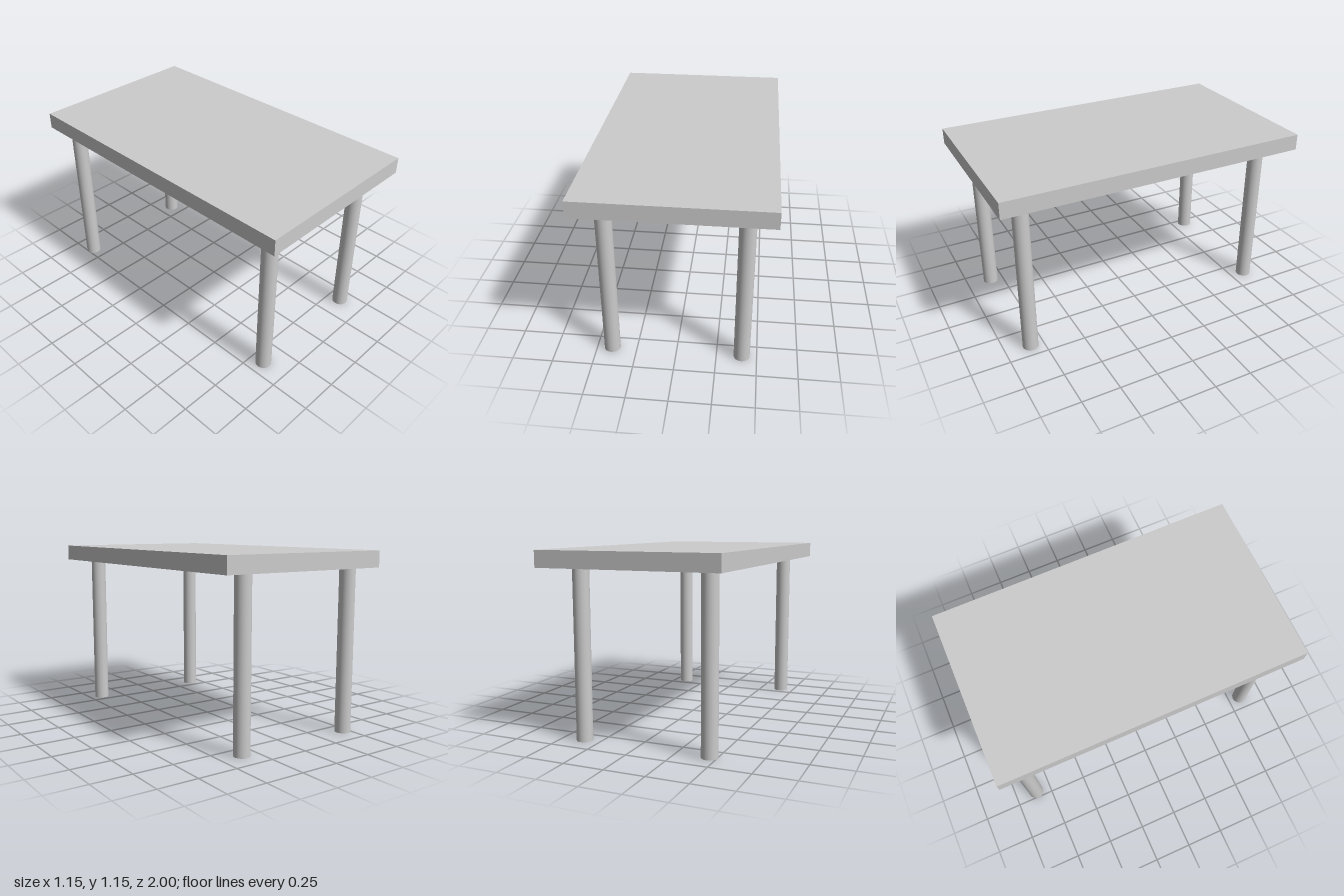
import * as THREE from 'three';

export function createModel() {
  const model = new THREE.Group();
  model.name = 'table';
  const grey = new THREE.MeshStandardMaterial({ color: 0xcccccc });
  grey.name = 'light grey';

  const legHeight = 1.045;
  const topThickness = 0.103;

  // Flat slab top
  const top = new THREE.Mesh(new THREE.BoxGeometry(1.146, topThickness, 2), grey);
  top.name = 'tableTop';
  top.position.y = legHeight + topThickness / 2;
  model.add(top);

  // Round legs; the back pair is set slightly towards -x
  const legGeometry = new THREE.CylinderGeometry(0.05, 0.05, legHeight, 48);
  const legs = [
    ['frontLeftLeg', 0.407, 0.835],
    ['frontRightLeg', -0.405, 0.835],
    ['backLeftLeg', 0.355, -0.854],
    ['backRightLeg', -0.456, -0.854],
  ];
  for (const [name, x, z] of legs) {
    const leg = new THREE.Mesh(legGeometry, grey);
    leg.name = name;
    leg.position.set(x, legHeight / 2, z);
    model.add(leg);
  }
  return model;
}
